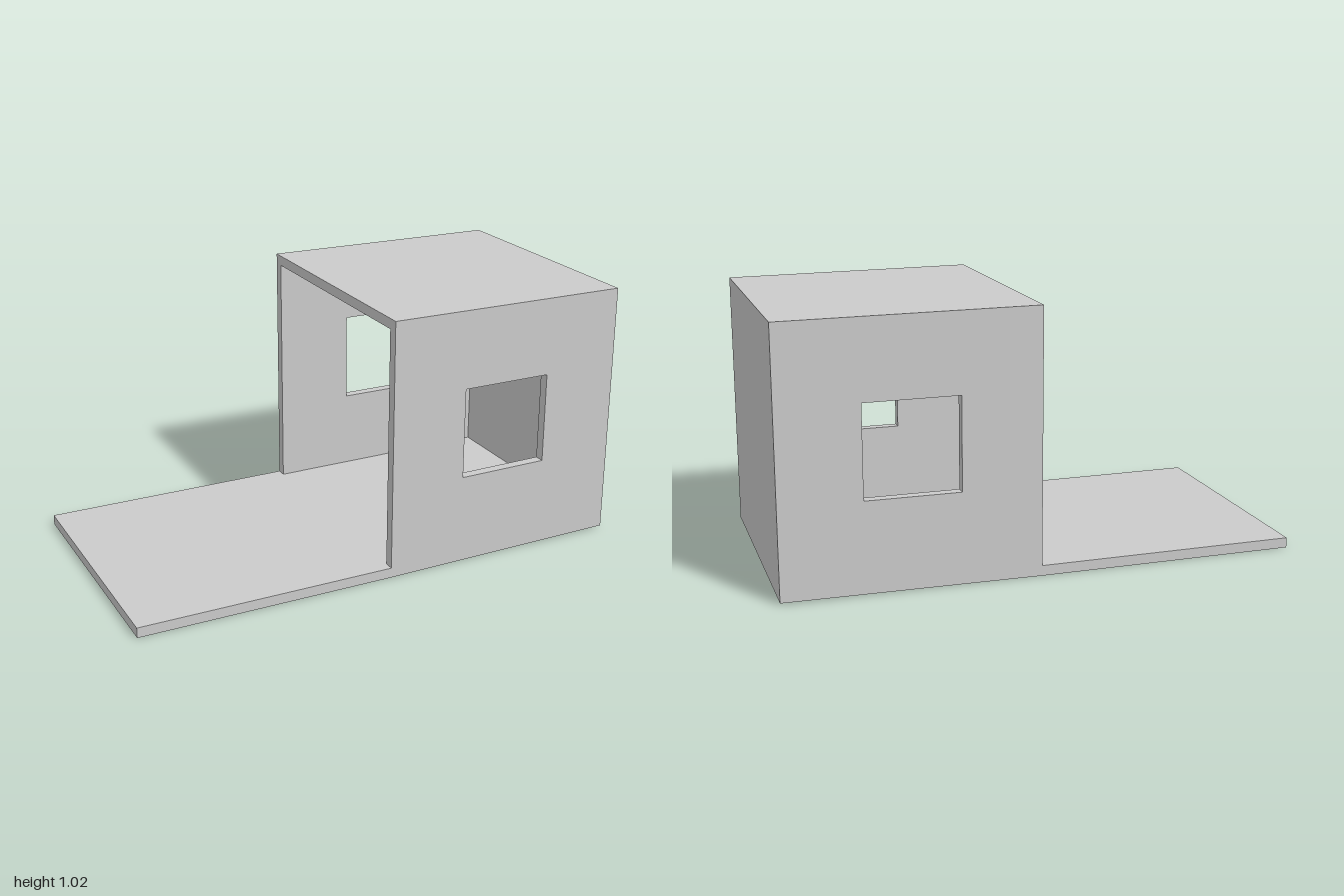
import * as THREE from 'three';

const H = 1.025, D = 0.512, T = 0.04; // room height, half depth, panel thickness
const X0 = 0.02, X1 = 1;              // open and closed ends of the room
const material = new THREE.MeshStandardMaterial({ color: 0xcccccc, flatShading: true });

// The room narrows very slightly from its open end to its closed end
function taper(geometry) {
  const p = geometry.attributes.position;
  for (let i = 0; i < p.count; i++) {
    const k = 1 - 0.0137 * Math.max(0, (p.getX(i) - X0) / (X1 - X0));
    p.setY(i, H / 2 + (p.getY(i) - H / 2) * k);
    p.setZ(i, p.getZ(i) * k);
  }
  geometry.computeVertexNormals();
  return geometry;
}

function addPart(group, name, geometry) {
  const mesh = new THREE.Mesh(taper(geometry), material);
  mesh.name = name;
  group.add(mesh);
}

// Box given by its low and high corners
function slab(x0, x1, y0, y1, z0, z1) {
  return new THREE.BoxGeometry(x1 - x0, y1 - y0, z1 - z0)
    .translate((x0 + x1) / 2, (y0 + y1) / 2, (z0 + z1) / 2);
}

// Upright wall with a square window, starting at depth z
function windowWall(z) {
  const rect = (target, x0, x1, y0, y1) => {
    target.moveTo(x0, y0);
    target.lineTo(x1, y0);
    target.lineTo(x1, y1);
    target.lineTo(x0, y1);
    target.closePath();
    return target;
  };
  const shape = rect(new THREE.Shape(), X0, X1, T, H - T);
  shape.holes.push(rect(new THREE.Path(), 0.327, 0.69, 0.355, 0.716));
  return new THREE.ExtrudeGeometry(shape, { depth: T, bevelEnabled: false }).translate(0, 0, z);
}

export function createModel() {
  const model = new THREE.Group();
  model.name = 'openRoomWithTerrace';

  // Ground slab: open terrace, then the floor of the room
  addPart(model, 'terrace', slab(-1, X0, 0, T, -D, D));
  addPart(model, 'roomFloor', slab(X0, X1, 0, T, -D, D));

  // Room shell, open towards the terrace
  addPart(model, 'roof', slab(X0, X1, H - T, H, -D, D));
  addPart(model, 'frontWall', windowWall(D - T));
  addPart(model, 'backWall', windowWall(-D));
  addPart(model, 'endWall', slab(X1 - T, X1, T, H - T, -D + T, D - T));

  return model;
}
